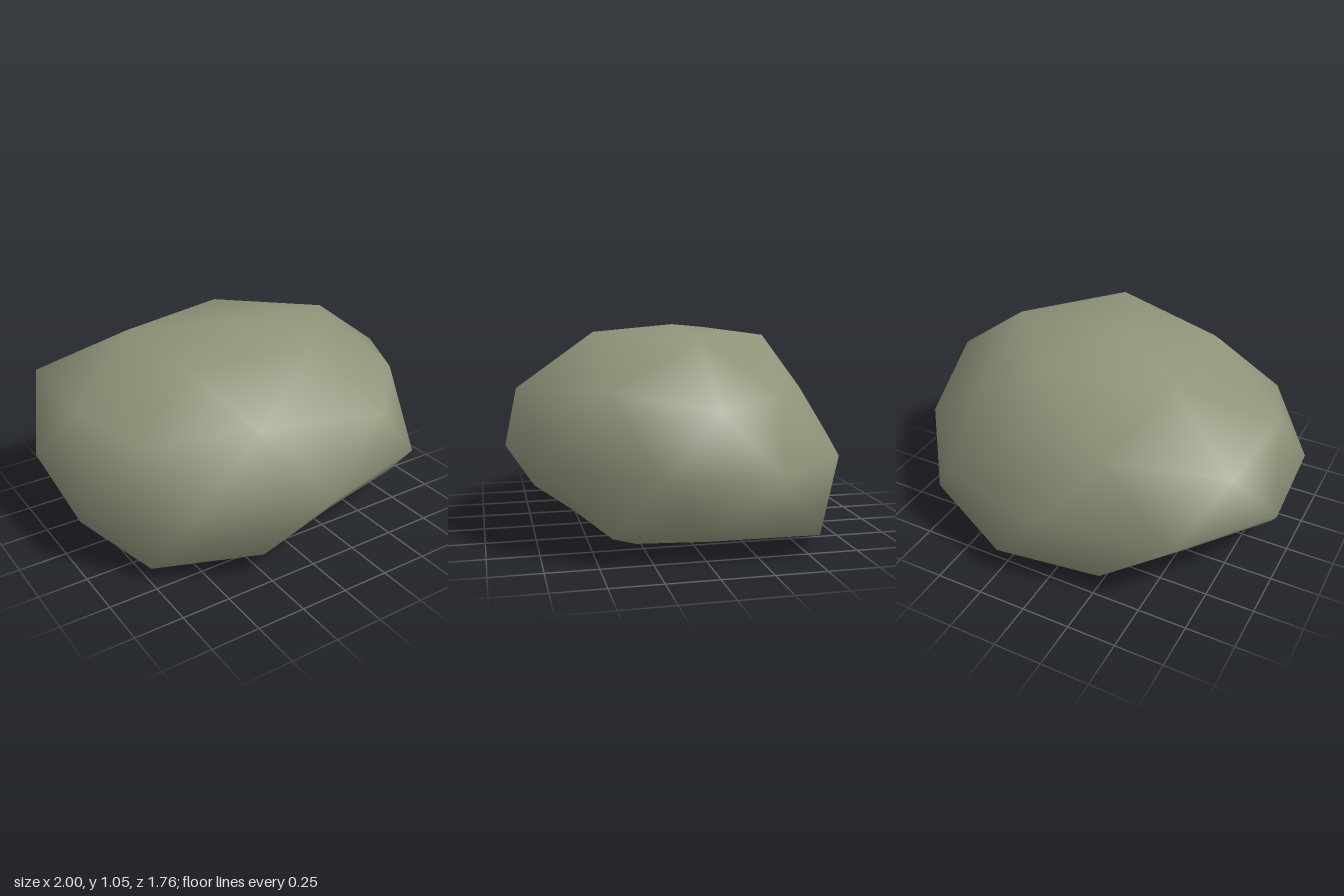
import * as THREE from 'three';

// Rings of the boulder, each listed by increasing angle from +x towards +z
const rings = {
  top: [[0, 1.05, 0]],
  crown: [[0.57, 1.02, 0], [0.18, 1.03, 0.44], [-0.45, 0.98, 0.27], [-0.45, 1.0, -0.29], [0.17, 1.0, -0.44]],
  upper: [[0.95, 0.74, 0], [0.32, 0.78, 0.83], [-0.74, 0.72, 0.39], [-0.86, 0.78, -0.55], [0.23, 0.73, -0.63]],
  shoulder: [[0.69, 0.8, 0.45], [-0.28, 0.78, 0.64], [-0.88, 0.78, -0.01], [-0.28, 0.78, -0.69], [0.6, 0.75, -0.4]],
  waistA: [[1, 0.44, -0.29], [0.64, 0.44, 0.72], [-0.6, 0.44, 0.65], [-1, 0.44, -0.29], [0, 0.44, -0.88]],
  waistB: [[0.97, 0.44, 0.24], [0, 0.44, 0.88], [-0.97, 0.44, 0.24], [-0.65, 0.44, -0.76], [0.61, 0.44, -0.7]],
  lower: [[0.76, 0.14, 0.44], [-0.28, 0.15, 0.72], [-0.91, 0.16, 0], [-0.28, 0.12, -0.74], [0.84, 0.12, -0.52]],
  skirt: [[0.83, 0.12, 0], [0.24, 0.14, 0.56], [-0.74, 0.07, 0.43], [-0.59, 0.14, -0.39], [0.3, 0.07, -0.77]],
  foot: [[0.45, 0.01, 0.28], [-0.17, 0.01, 0.43], [-0.57, 0.01, 0], [-0.17, 0.01, -0.44], [0.45, 0.01, -0.31]],
  base: [[0, 0, 0]],
};

function boulderGeometry() {
  const positions = [];
  const start = {};
  for (const [name, points] of Object.entries(rings)) {
    start[name] = positions.length / 3;
    positions.push(...points.flat());
  }

  const index = [];
  const tri = (a, b, c) => index.push(a, c, b);

  // One fifth of a subdivided icosahedron, repeated around the y axis
  for (let k = 0; k < 5; k++) {
    const at = (name, step = 0) => start[name] + ((k + step + 5) % 5);
    const top = start.top, base = start.base;
    const T = at('crown'), T1 = at('crown', 1);
    const U = at('upper'), U1 = at('upper', 1);
    const S = at('shoulder');
    const A = at('waistA'), A1 = at('waistA', 1), B = at('waistB');
    const L = at('lower'), L0 = at('lower', -1);
    const D = at('skirt');
    const F = at('foot'), F0 = at('foot', -1);

    // Cap
    tri(top, T, T1);
    tri(T, U, S);
    tri(T, S, T1);
    tri(T1, S, U1);
    // Sides
    tri(U, B, S);
    tri(S, B, A1);
    tri(S, A1, U1);
    tri(B, L, A1);
    tri(U, A, B);
    tri(A, L0, D);
    tri(A, D, B);
    tri(B, D, L);
    // Underside
    tri(L0, F0, D);
    tri(D, F0, F);
    tri(D, F, L);
    tri(F0, base, F);
  }

  const geometry = new THREE.BufferGeometry();
  geometry.setAttribute('position', new THREE.Float32BufferAttribute(positions, 3));
  geometry.setIndex(index);
  geometry.computeVertexNormals();
  return geometry;
}

export function createModel() {
  const group = new THREE.Group();
  group.name = 'rock';

  const stone = new THREE.MeshStandardMaterial({ color: 0x90947a });
  stone.name = 'mossy stone';

  const boulder = new THREE.Mesh(boulderGeometry(), stone);
  boulder.name = 'boulder';
  group.add(boulder);
  return group;
}
